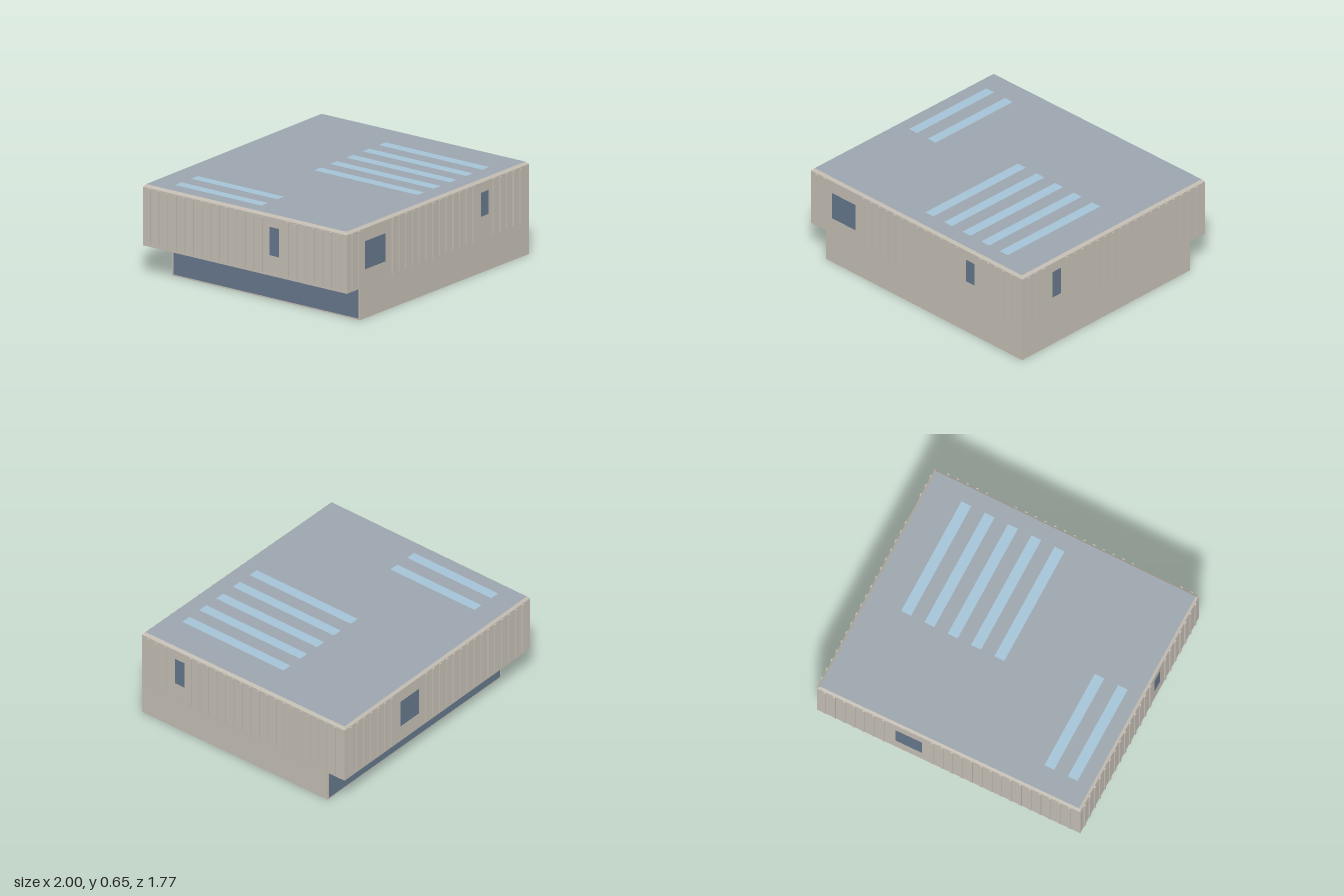
import * as THREE from 'three';

const mat = (name, color) => new THREE.MeshStandardMaterial({ name, color });

// Shell through stacked four-corner loops; each loop is { y, pts: [[x, z] x4] }
// with corners running back left, front left, front right, back right.
function quadLoft(loops, { bottom = false, top = false } = {}) {
  const pos = [];
  const at = (l, i) => [l.pts[i % 4][0], l.y, l.pts[i % 4][1]];
  const quad = (a, b, c, d) => pos.push(...a, ...b, ...c, ...a, ...c, ...d);
  for (let k = 0; k < loops.length - 1; k++) {
    const lo = loops[k], hi = loops[k + 1];
    for (let i = 0; i < 4; i++) quad(at(lo, i), at(lo, i + 1), at(hi, i + 1), at(hi, i));
  }
  const first = loops[0], last = loops[loops.length - 1];
  if (bottom) quad(at(first, 3), at(first, 2), at(first, 1), at(first, 0));
  if (top) quad(at(last, 0), at(last, 1), at(last, 2), at(last, 3));
  const g = new THREE.BufferGeometry();
  g.setAttribute('position', new THREE.Float32BufferAttribute(pos, 3));
  g.computeVertexNormals();
  return g;
}

export function createModel() {
  const wall = mat('warm grey cladding', 0xc2bcb2);
  wall.side = THREE.DoubleSide;
  const roof = mat('grey roof', 0x9ca5ad);
  const glass = mat('dark blue glass', 0x64768a);
  const sky = mat('pale blue skylight', 0xa4c3d6);

  const model = new THREE.Group();
  model.name = 'building';
  const add = (parent, name, geo, material) => {
    const m = new THREE.Mesh(geo, material);
    m.name = name;
    parent.add(m);
    return m;
  };
  // Flat pane just proud of the surface it lies on, facing local z
  const pane = (parent, name, material, x0, x1, y0, y1) =>
    add(parent, name, new THREE.PlaneGeometry(x1 - x0, y1 - y0), material)
      .position.set((x0 + x1) / 2, (y0 + y1) / 2, 0.0015);
  // Group whose local x runs along a wall and whose local z points outward
  const wallFrame = (name, a, b) => {
    const g = new THREE.Group();
    g.name = name;
    g.position.set(a[0], 0, a[1]);
    g.rotation.y = Math.atan2(a[1] - b[1], b[0] - a[0]);
    model.add(g);
    return { g, length: Math.hypot(b[0] - a[0], b[1] - a[1]) };
  };

  // Slightly skewed plans
  const upper = [[-0.99, -0.852], [-0.99, 0.874], [0.99, 0.869], [0.974, -0.878]];
  const inset = [[-0.973, -0.837], [-0.973, 0.857], [0.971, 0.852], [0.957, -0.862]];
  const lower = [[-0.848, -0.717], [-0.848, 0.874], [0.99, 0.869], [0.976, -0.733]];

  // Ground floor walls: set back on two sides and open underneath
  add(model, 'groundFloorWalls', quadLoft([{ y: 0, pts: lower }, { y: 0.22, pts: lower }]), wall);

  // Upper storey with closed underside and bevelled roof edge
  add(model, 'upperStorey', quadLoft([
    { y: 0.22, pts: upper }, { y: 0.63, pts: upper }, { y: 0.648, pts: inset },
  ], { bottom: true }), wall);
  add(model, 'roof', quadLoft([{ y: 0.64, pts: inset }, { y: 0.648, pts: inset }], { top: true }), roof);

  // Skylight strips, laid out in a frame turned to face up (local y = -z)
  const skylights = new THREE.Group();
  skylights.name = 'skylights';
  skylights.position.y = 0.648;
  skylights.rotation.x = -Math.PI / 2;
  model.add(skylights);
  for (const x of [-0.875, -0.7]) pane(skylights, 'skylight', sky, x, x + 0.072, -0.06, 0.67);
  for (let i = 0; i < 5; i++) {
    const x = -0.05 + i * 0.175;
    pane(skylights, 'skylight', sky, x, x + 0.074, -0.738, 0.138);
  }

  // Facades: fins at a regular pitch, left out where a window sits.
  // Window: [start, end, bottom, top] along the wall.
  const [bl, fl, fr, br] = upper;
  const facades = [
    ['frontFacade', fl, fr, [[0.198, 0.417, 0.343, 0.54], [1.457, 1.537, 0.392, 0.56]]],
    ['leftFacade', fr, br, [[0.288, 0.37, 0.363, 0.562]]],
    ['backFacade', br, bl, [[0.588, 0.785, 0.34, 0.54]]],
    ['rightFacade', bl, fl, [[1.072, 1.155, 0.363, 0.562]]],
  ];
  for (const [name, a, b, windows] of facades) {
    const { g, length } = wallFrame(name, a, b);
    for (const w of windows) pane(g, 'window', glass, ...w);
    for (let s = 0.059; s < length - 0.05; s += 0.073) {
      if (windows.some(([s0, s1]) => s > s0 - 0.03 && s < s1 + 0.03)) continue;
      add(g, 'fin', new THREE.BoxGeometry(0.018, 0.387, 0.012), wall).position.set(s, 0.431, 0.003);
    }
  }

  // Glazing bands under the overhang
  for (const [name, a, b] of [
    ['backGlazing', lower[3], lower[0]], ['rightGlazing', lower[0], lower[1]],
  ]) {
    const { g, length } = wallFrame(name, a, b);
    pane(g, 'glazingBand', glass, 0.012, length - 0.012, 0.01, 0.212);
  }
  return model;
}
